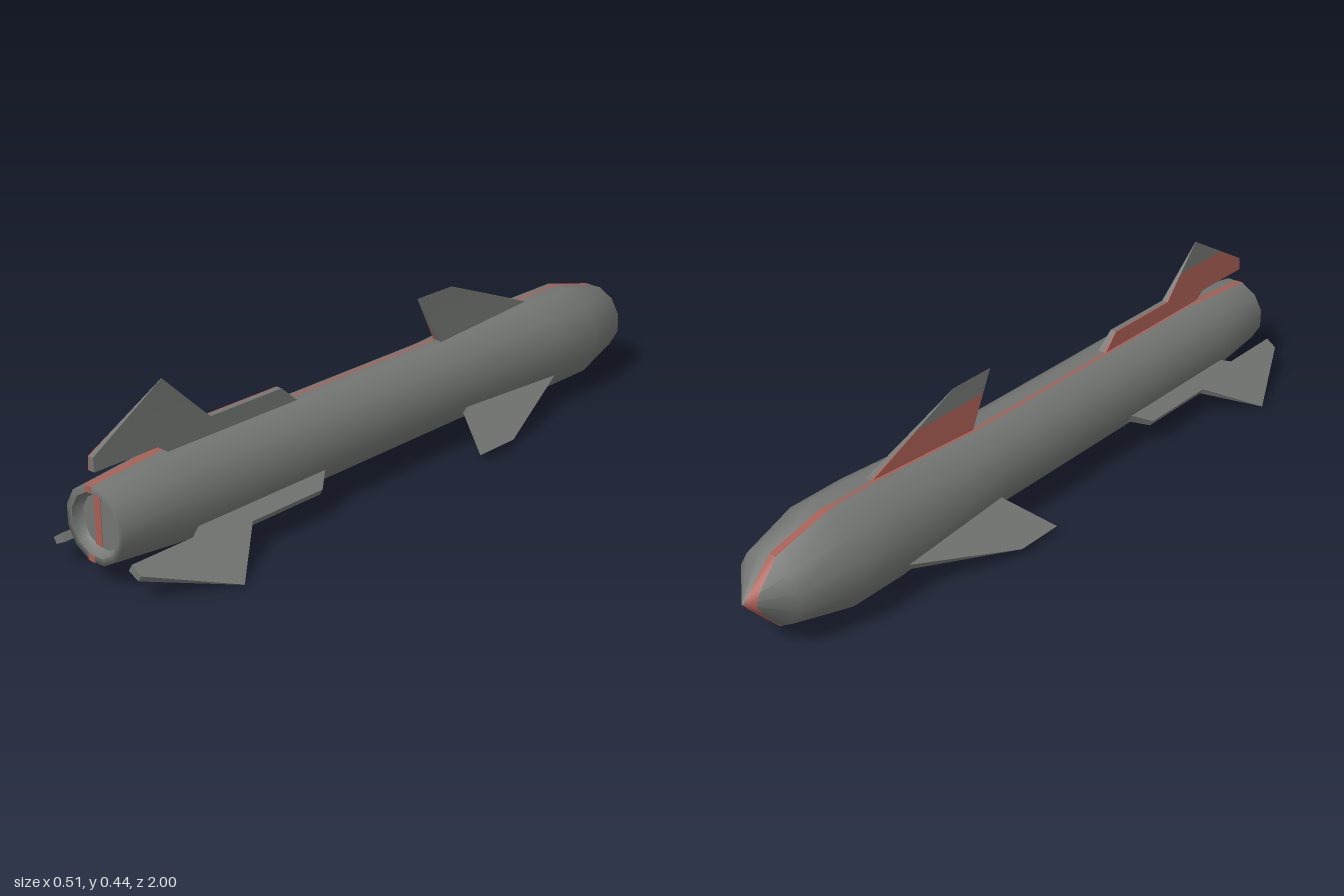
import * as THREE from 'three';
import { toCreasedNormals } from 'three/addons/utils/BufferGeometryUtils.js';

const AXIS_Y = 0.148;
const FLAT = Math.cos(Math.PI / 12); // apothem / corner radius of a 12-sided ring

// fin outlines as [z, distance from the body axis]
const FRONT_FIN = [[-0.57, 0.1], [-0.57, 0.135], [-0.26, 0.255], [-0.12, 0.255], [-0.2, 0.12], [-0.2, 0.1]];
const TAIL_FIN = [[0.35, 0.1], [0.35, 0.115], [0.4, 0.16], [0.64, 0.16], [0.78, 0.295],
  [1, 0.17], [1, 0.135], [0.81, 0.135], [0.78, 0.115], [0.78, 0.1]];

// body outlines as [distance to flat, z]
const HULL = [[0, -1], [0.095, -0.91], [0.135, -0.74], [0.135, -0.57], [0.115, -0.2], [0.115, 0.78],
  [0.095, 1], [0.078, 1]];
const NOZZLE = [[0.078, 1], [0.074, 0.985], [0.067, 0.975], [0, 0.975]];

// body stripe as [distance to flat, z, left x, right x]
const STRIPE = [[0.095, -0.91, -0.025, -0.005], [0.135, -0.74, -0.025, -0.005], [0.135, -0.7, -0.02, -0.01],
  [0.135, -0.57, -0.02, -0.01], [0.115, -0.2, -0.02, -0.01], [0.115, 0.74, -0.02, -0.01],
  [0.115, 0.78, -0.027, -0.005], [0.095, 1, -0.025, -0.005]];

const toShape = (pts) => new THREE.Shape(pts.map(([a, b]) => new THREE.Vector2(a, b)));

function ring(profile) {
  const pts = profile.map(([a, z]) => new THREE.Vector2(a / FLAT, z));
  return new THREE.LatheGeometry(pts, 12, Math.PI / 12).rotateX(Math.PI / 2);
}

// keep the part of an outline below (side 1) or above (side -1) a given height
function clip(pts, limit, side) {
  const inside = (p) => (limit - p[1]) * side >= 0;
  const out = [];
  pts.forEach((p, i) => {
    const q = pts[(i + 1) % pts.length];
    if (inside(p)) out.push(p);
    if (inside(p) !== inside(q)) {
      const t = (limit - p[1]) / (q[1] - p[1]);
      out.push([p[0] + t * (q[0] - p[0]), limit]);
    }
  });
  return out;
}

// solid slice of a fin between two thickness rules of the radius
function slab(pts, right, left) {
  const g = new THREE.ExtrudeGeometry(toShape(pts), { depth: 1, bevelEnabled: false });
  const p = g.attributes.position;
  for (let i = 0; i < p.count; i++) p.setZ(i, (p.getZ(i) < 0.5 ? right : left)(p.getY(i)));
  g.computeVertexNormals();
  return g.rotateY(-Math.PI / 2);
}

// narrow ribbon lying along the top flat of the body
function stripeGeometry() {
  const pos = [], index = [];
  STRIPE.forEach(([a, z, x0, x1], i) => {
    pos.push(x0, a + 0.0012, z, x1, a + 0.0012, z);
    const k = 2 * i;
    if (i) index.push(k - 2, k, k - 1, k - 1, k, k + 1);
  });
  const g = new THREE.BufferGeometry();
  g.setAttribute('position', new THREE.Float32BufferAttribute(pos, 3));
  g.setIndex(index);
  g.computeVertexNormals();
  return g;
}

// straight band laid over the twelve-sided nose cone
function noseStripeGeometry() {
  const g = new THREE.PlaneGeometry(0.022, 0.19, 4, 24).translate(-0.016, 0, 0);
  const p = g.attributes.position;
  for (let i = 0; i < p.count; i++) {
    let reach = 0;
    for (let k = 0; k < 12; k++) {
      const t = k * Math.PI / 6;
      reach = Math.max(reach, p.getX(i) * Math.sin(t) + p.getY(i) * Math.cos(t));
    }
    p.setZ(i, -1.002 + 0.09 * reach / 0.095);
  }
  g.computeVertexNormals();
  return g;
}

export function createModel() {
  const grey = new THREE.MeshStandardMaterial({ color: 0x727571 });
  grey.name = 'bodyGrey';
  const red = new THREE.MeshStandardMaterial({ color: 0xa85e54, side: THREE.DoubleSide });
  red.name = 'markingRed';

  const model = new THREE.Group();
  model.name = 'finnedMissile';
  const craft = new THREE.Group();
  craft.name = 'missile';
  craft.position.y = AXIS_Y;
  model.add(craft);

  const add = (name, geometry, material) => {
    const mesh = new THREE.Mesh(geometry, material);
    mesh.name = name;
    craft.add(mesh);
    return mesh;
  };

  // body and shallow recessed nozzle
  add('body', ring(HULL), grey);
  add('nozzle', toCreasedNormals(ring(NOZZLE), 0.6), grey);

  // three sets of wedge-shaped fins; the top ones have a red layer low on one side
  const paintDepth = 0.005;
  for (const [name, pts, tip] of [['frontFin', FRONT_FIN, 0.255], ['tailFin', TAIL_FIN, 0.295]]) {
    const half = (r) => Math.max(0.0004, 0.0125 * (tip - r) / (tip - 0.115));
    const right = (r) => -half(r);
    const paintLine = () => paintDepth;
    const limit = tip - (paintDepth / 0.0125) * (tip - 0.115);
    const lower = clip(pts, limit, 1);

    const sideFin = slab(pts, right, half);
    for (const s of [1, -1]) add(name, sideFin, grey).rotation.z = s * Math.PI * 2 / 3;

    add(name + 'TopTip', slab(clip(pts, limit, -1), right, half), grey);
    add(name + 'TopRoot', slab(lower, right, paintLine), grey);
    add(name + 'TopPaint', slab(lower, paintLine, half), red);
  }

  // red line over the nose and along the top and bottom of the body
  add('noseStripe', noseStripeGeometry(), red);
  const stripe = stripeGeometry();
  add('topStripe', stripe, red);
  add('bottomStripe', stripe, red).scale.y = -1;

  // red line across the nozzle rim and floor
  for (const s of [1, -1]) {
    add('rimStripe', new THREE.BoxGeometry(0.022, 0.017, 0.002), red).position.set(-0.016, s * 0.0865, 0.9995);
  }
  add('nozzleStripe', new THREE.BoxGeometry(0.022, 0.128, 0.002), red).position.set(-0.016, 0, 0.9755);

  return model;
}
